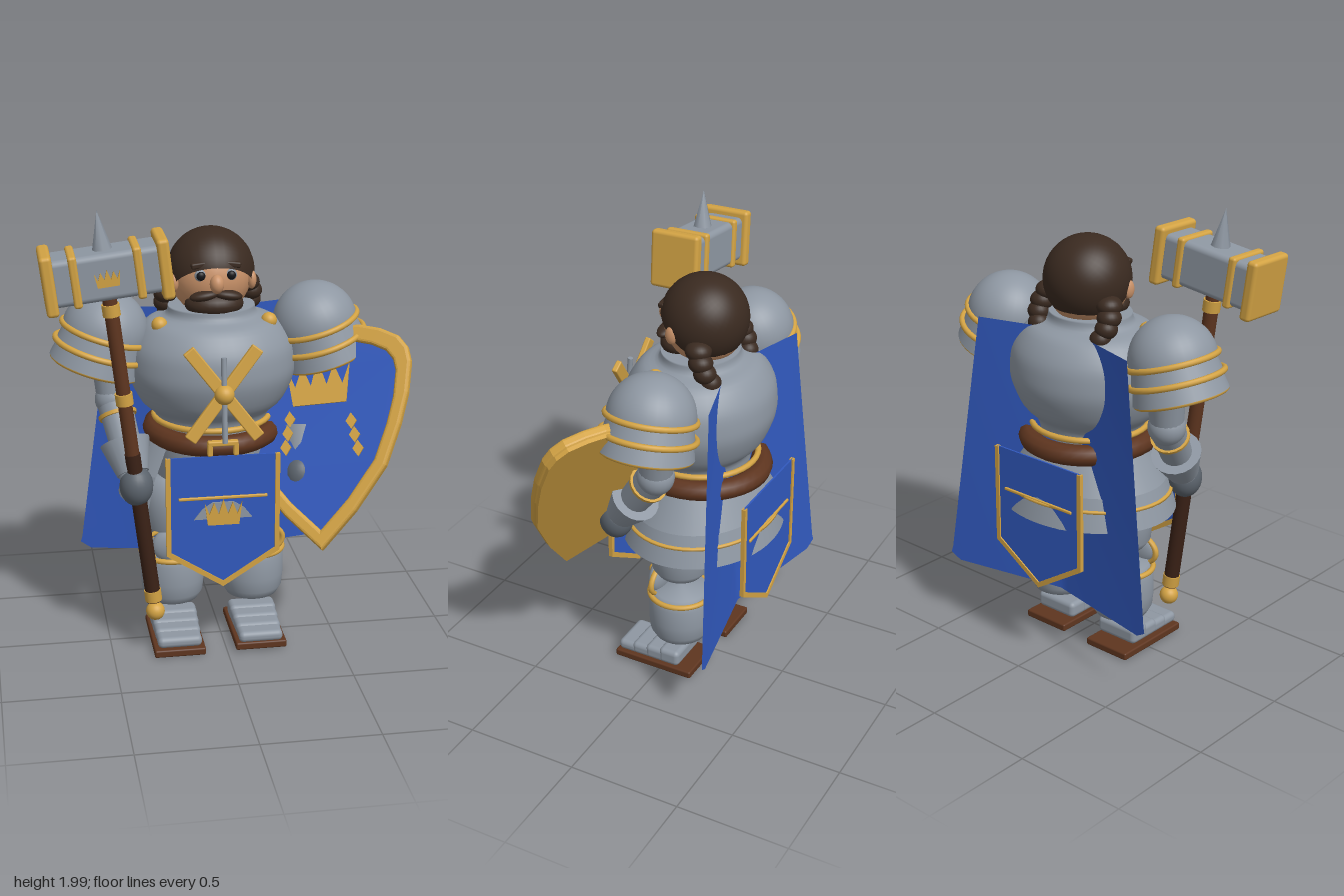
import * as THREE from 'three';
import { RoundedBoxGeometry } from 'three/addons/geometries/RoundedBoxGeometry.js';

const mat = (name, color, side = THREE.FrontSide) => {
  const m = new THREE.MeshStandardMaterial({ color, side });
  m.name = name;
  return m;
};
const V = (x, y, z) => new THREE.Vector3(x, y, z);
const CX = -0.03; // body centre line

export function createModel() {
  const steel = mat('steel', 0x8e97a2, THREE.DoubleSide), darkSteel = mat('dark steel', 0x5c646d);
  const gold = mat('gold', 0xd3a344), blue = mat('blue cloth', 0x3159be, THREE.DoubleSide);
  const brown = mat('leather', 0x5e351f), darkBrown = mat('dark leather', 0x3a2116);
  const hair = mat('hair', 0x3a2a20), skin = mat('skin', 0xc99269), black = mat('black', 0x15161a);

  const root = new THREE.Group();
  root.name = 'armouredWarrior';
  const group = (name, parent = root) => {
    const g = new THREE.Group();
    g.name = name;
    parent.add(g);
    return g;
  };
  const add = (parent, name, geo, m, x = 0, y = 0, z = 0) => {
    const o = new THREE.Mesh(geo, m);
    o.name = name;
    o.position.set(x, y, z);
    parent.add(o);
    return o;
  };
  const ball = (p, name, m, x, y, z, rx, ry = rx, rz = rx) => {
    const o = add(p, name, new THREE.SphereGeometry(1, 24, 16), m, x, y, z);
    o.scale.set(rx, ry, rz);
    return o;
  };
  const box = (p, name, m, w, h, d, x, y, z, r = 0.01) =>
    add(p, name, new RoundedBoxGeometry(w, h, d, 3, r), m, x, y, z);
  // Horizontal ring, optionally oval
  const ring = (p, name, m, x, y, z, rx, tube, rz = rx) => {
    const o = add(p, name, new THREE.TorusGeometry(rx, tube, 10, 40), m, x, y, z);
    o.rotation.x = Math.PI / 2;
    o.scale.y = rz / rx;
    return o;
  };
  const lathe = (p, name, m, pts, x, z, sz = 1, start = 0, len = Math.PI * 2) => {
    const g = new THREE.LatheGeometry(pts.map(q => new THREE.Vector2(...q)), 40, start, len);
    const o = add(p, name, g, m, x, 0, z);
    o.scale.z = sz;
    return o;
  };
  const limb = (p, name, m, a, b, ra, rb) => {
    const d = b.clone().sub(a);
    const o = add(p, name, new THREE.CylinderGeometry(rb, ra, d.length(), 20), m);
    o.position.copy(a).addScaledVector(d, 0.5);
    o.quaternion.setFromUnitVectors(V(0, 1, 0), d.normalize());
    return o;
  };
  const plate = (p, name, m, pts, depth, z = 0, hole = null, bevel = 0) => {
    const s = new THREE.Shape(pts.map(q => new THREE.Vector2(...q)));
    if (hole) s.holes.push(new THREE.Path(hole.map(q => new THREE.Vector2(...q))));
    const geo = new THREE.ExtrudeGeometry(s, { depth, bevelEnabled: bevel > 0, bevelSize: bevel,
      bevelThickness: bevel, bevelOffset: -bevel / 2, bevelSegments: 3 });
    return add(p, name, geo, m, 0, 0, z);
  };
  // Five-pointed crown, base centred on (x, y)
  const crown = (p, x, y, z, w, h) => {
    const pts = [[x - w * 0.42, y], [x + w * 0.42, y]];
    for (let i = 0; i <= 8; i++)
      pts.push([x + w * (0.5 - i / 8), y + h * (i % 2 ? 0.42 : i === 4 ? 1 : 0.88)]);
    plate(p, 'crown', gold, pts, 0.009, z);
  };

  // Torso, collar, belt and skirt
  const body = group('body');
  const profile = new THREE.SplineCurve([[0.24, 1], [0.25, 1.06], [0.31, 1.12], [0.355, 1.22], [0.36, 1.3],
    [0.342, 1.38], [0.28, 1.46], [0.2, 1.49], [0.185, 1.53]].map(q => new THREE.Vector2(...q)))
    .getPoints(32).map(q => [q.x, q.y]);
  lathe(body, 'breastplate', steel, [...profile, [0, 1.53]], CX, -0.06, 0.88);
  ring(body, 'waistRing', gold, CX, 1.04, -0.06, 0.25, 0.013, 0.25);
  ring(body, 'belt', brown, CX, 0.98, -0.06, 0.255, 0.045, 0.27);
  for (const dx of [-0.055, 0.055]) box(body, 'buckle', gold, 0.022, 0.055, 0.03, CX + dx, 0.985, 0.258, 0.006);
  box(body, 'buckle', gold, 0.13, 0.022, 0.03, CX, 1.012, 0.258, 0.006);
  lathe(body, 'hips', steel, [[0, 0.64], [0.2, 0.66], [0.25, 0.75], [0.26, 0.95]], CX, -0.06, 0.85);
  const gap = 0.84, sweep = Math.PI * 2 - gap * 2;
  const tier = (name, m, pts) => lathe(body, name, m, pts, CX, -0.08, 0.83, gap, sweep);
  tier('skirtUpper', steel, [[0.37, 0.8], [0.27, 0.97]]);
  tier('skirtLower', steel, [[0.41, 0.68], [0.365, 0.82]]);
  tier('skirtTrim', gold, [[0.384, 0.76], [0.394, 0.761], [0.394, 0.771], [0.378, 0.772]]);
  for (const s of [-1, 1]) ball(body, 'collarStud', gold, CX + s * 0.233, 1.47, 0.03, 0.034);

  // Crossed bars on the chest, leaning back at the top
  const emblem = group('chestEmblem', body);
  emblem.position.set(CX, 1.235, 0.285);
  emblem.rotation.x = -0.1;
  for (const s of [-1, 1])
    box(emblem, 'chestBar', gold, 0.054, 0.475, 0.025, 0, 0, 0, 0.006).rotation.z = s * 0.655;
  ball(emblem, 'chestBoss', gold, 0, 0, 0.012, 0.042);
  add(emblem, 'chestRod', new THREE.CylinderGeometry(0.012, 0.012, 0.36, 12), steel, 0, -0.025, 0.012);

  // Head, hair and braids
  const head = group('head');
  ball(head, 'face', skin, CX, 1.65, -0.08, 0.172);
  const cap = add(head, 'hairCap', new THREE.SphereGeometry(0.186, 32, 20, 0, Math.PI * 2, 0, 2), hair, CX, 1.672, -0.078);
  cap.rotation.x = -0.7;
  ball(head, 'nose', skin, CX, 1.653, 0.1, 0.03, 0.04, 0.035);
  ball(head, 'beard', hair, CX, 1.552, 0.02, 0.125, 0.06, 0.092);
  for (const s of [-1, 1]) {
    ball(head, 'eyeRim', steel, CX + s * 0.064, 1.685, 0.069, 0.025, 0.025, 0.018);
    ball(head, 'pupil', black, CX + s * 0.064, 1.685, 0.081, 0.019, 0.019, 0.013);
    box(head, 'eyebrow', hair, 0.07, 0.025, 0.03, CX + s * 0.07, 1.73, 0.073, 0.008).rotation.z = -s * 0.12;
    ball(head, 'moustache', hair, CX + s * 0.05, 1.6, 0.075, 0.062, 0.022, 0.035).rotation.z = -s * 0.15;
    ball(head, 'ear', skin, CX + s * 0.165, 1.64, -0.01, 0.02, 0.04, 0.028);
    for (let i = 0; i < 6; i++)
      ball(head, 'braid', hair, CX + s * (0.168 + 0.02 * Math.sin(i)), 1.6 - i * 0.043, -0.135 - i * 0.02,
        0.054 - i * 0.003, 0.042, 0.056 - i * 0.004);
  }

  // Legs and feet
  for (const s of [-1, 1]) {
    const x = CX + s * 0.18, z = -0.06, leg = group(s < 0 ? 'rightLeg' : 'leftLeg');
    lathe(leg, 'thigh', steel, [[0, 0.5], [0.1, 0.505], [0.125, 0.54], [0.135, 0.65], [0.12, 0.78], [0, 0.8]], x, z);
    lathe(leg, 'shin', steel, [[0, 0.17], [0.08, 0.172], [0.115, 0.185], [0.135, 0.22], [0.141, 0.28],
      [0.14, 0.37], [0.12, 0.42], [0, 0.44]], x, z);
    ring(leg, 'shinRing', gold, x, 0.4, z, 0.137, 0.012);
    ball(leg, 'kneeCap', steel, x, 0.465, 0.035, 0.1, 0.085, 0.04);
    add(leg, 'kneeRim', new THREE.TorusGeometry(0.125, 0.013, 8, 32), gold, x, 0.465, 0.02).scale.y = 0.6;
    ball(leg, 'kneeStud', gold, x, 0.475, 0.07, 0.025);
    box(leg, 'sole', brown, 0.226, 0.034, 0.38, x, s < 0 ? 0.024 : 0.034, 0.025, 0.008);
    for (let i = 0; i < 4; i++)
      box(leg, 'footPlate', steel, 0.195 + i * 0.005, 0.05 + i * 0.008, 0.1, x, 0.07 + i * 0.006, 0.16 - i * 0.07, 0.022);
  }

  // Shoulder armour and arms
  for (const s of [-1, 1]) {
    const name = s < 0 ? 'right' : 'left';
    const pad = group(name + 'Shoulder');
    pad.position.set(CX + s * 0.455, 1.42, -0.075);
    pad.rotation.z = s * 0.3;
    add(pad, 'dome', new THREE.SphereGeometry(0.185, 32, 16, 0, Math.PI * 2, 0, Math.PI / 2), steel);
    for (let i = 0; i < 3; i++) {
      const r = [0.186, 0.196, 0.186][i], y = -0.075 * i;
      ring(pad, 'padTrim', gold, 0, y, 0, r, 0.013);
      if (i < 2) add(pad, 'lame', new THREE.CylinderGeometry(r - 0.012, r + 0.004, 0.075, 32, 1, true), steel, 0, y - 0.038, 0);
    }
    const arm = group(name + 'Arm');
    const a = V(CX + s * 0.44, 1.36, -0.1), e = s < 0 ? V(-0.455, 1.12, -0.07) : V(0.385, 1.12, -0.07);
    const h = s < 0 ? V(-0.385, 0.8, 0.15) : V(0.32, 0.81, 0.16);
    const at = t => e.clone().lerp(h, t);
    limb(arm, 'upperArm', steel, a, e, 0.085, 0.07);
    ball(arm, 'elbow', steel, e.x, e.y, e.z, 0.08);
    limb(arm, 'forearm', steel, e, h, 0.075, 0.06);
    limb(arm, 'armRing', gold, at(0.17), at(0.21), 0.084, 0.082);
    limb(arm, 'cuff', steel, at(0.5), at(0.86), 0.108, 0.07);
    ball(arm, 'gauntlet', darkSteel, h.x, h.y, h.z, 0.072, 0.088, 0.075);
  }

  // Cape: a sheet folded inward along the back, with rounded lower corners
  const capeGeo = new THREE.PlaneGeometry(2, 1, 24, 20);
  const cp = capeGeo.attributes.position;
  for (let i = 0; i < cp.count; i++) {
    const u = cp.getX(i), v = cp.getY(i) + 0.5, t = Math.abs(u);
    const y = 0.303 + v * 1.167 + (v < 0.01 && t > 0.95 ? 0.03 : 0);
    cp.setXYZ(i, CX + u * (0.565 - 0.155 * v), y, -0.255 + 0.065 * v - t * (0.113 + 0.007 * v));
  }
  capeGeo.computeVertexNormals();
  add(root, 'cape', capeGeo, blue);

  // Front and back tabards
  for (const front of [true, false]) {
    const g = group(front ? 'frontTabard' : 'backTabard');
    g.position.set(CX, 0, front ? 0.255 : -0.385);
    if (!front) g.rotation.y = Math.PI;
    plate(g, 'cloth', blue, [[-0.235, 0.955], [-0.235, 0.52], [0, 0.37], [0.235, 0.52], [0.235, 0.955]], 0.008);
    plate(g, 'border', gold, [[-0.243, 0.955], [-0.243, 0.515], [0, 0.36], [0.243, 0.515], [0.243, 0.955],
      [0.223, 0.955], [0.223, 0.528], [0, 0.385], [-0.223, 0.528], [-0.223, 0.955]], 0.018, -0.004);
    box(g, 'stripe', gold, 0.38, 0.013, 0.012, 0, 0.77, 0.01, 0.004);
    plate(g, 'fan', steel, [[-0.125, 0.675], [0.125, 0.675], [0.09, 0.72], [0.045, 0.75], [-0.045, 0.75], [-0.09, 0.72]], 0.006, 0.008);
    if (front) crown(g, 0, 0.65, 0.014, 0.16, 0.115);
  }

  // Shield, with its origin at the lower tip
  const shield = group('shield');
  const n = V(-0.46, 0.46, 0.76).normalize(), r = V(0.887, 0.195, 0.419).normalize();
  const up = n.clone().cross(r).normalize();
  shield.quaternion.setFromRotationMatrix(new THREE.Matrix4().makeBasis(r, up, n));
  shield.position.set(0.367, 0.575, 0.415);
  const half = [[0, 0], [0.15, 0.15], [0.29, 0.33], [0.36, 0.5], [0.4, 0.63], [0.42, 0.76], [0.41, 0.82],
    [0.375, 0.87], [0.3, 0.91], [0.214, 0.935], [0, 0.95]];
  const outline = [...half, ...half.slice(1, -1).reverse().map(([x, y]) => [-x, y])];
  const inset = outline.map(([x, y]) => [x * 0.87, 0.5 + (y - 0.5) * 0.87]);
  plate(shield, 'shieldBack', gold, outline, 0.03, -0.045);
  plate(shield, 'shieldRim', gold, outline, 0.02, -0.015, inset, 0.014);
  plate(shield, 'shieldFace', blue, inset, 0.008, -0.008);
  crown(shield, 0.02, 0.615, 0.001, 0.28, 0.19);
  for (const s of [-1, 1])
    for (let i = 0; i < 3; i++) {
      const x = 0.02 + s * (0.135 + i * 0.012), y = 0.545 - i * 0.06 - s * 0.015;
      plate(shield, 'shieldDrop', gold, [[x, y - 0.035], [x + 0.024, y], [x, y + 0.035], [x - 0.024, y]], 0.009, 0);
    }

  // War hammer, with its origin at the centre of the head
  const hammer = group('hammer');
  hammer.position.set(-0.497, 1.745, 0.185);
  hammer.rotation.set(0.025, 0, 0.12);
  box(hammer, 'hammerHead', steel, 0.46, 0.195, 0.18, 0, 0, 0, 0.025);
  for (const s of [-1, 1]) {
    box(hammer, 'hammerCap', gold, 0.05, 0.25, 0.225, s * 0.235, 0, 0, 0.016);
    box(hammer, 'hammerBand', gold, 0.035, 0.215, 0.2, s * 0.13, 0, 0, 0.012);
  }
  crown(hammer, 0, -0.035, 0.089, 0.105, 0.07);
  add(hammer, 'spike', new THREE.ConeGeometry(0.042, 0.165, 8), steel, 0, 0.175, 0);
  const rod = (name, m, rad, top, bottom) =>
    add(hammer, name, new THREE.CylinderGeometry(rad, rad, top - bottom, 20), m, 0, (top + bottom) / 2, 0);
  rod('shaft', brown, 0.03, -0.09, -0.82);
  rod('grip', darkBrown, 0.033, -0.8, -1.5);
  for (const y of [-0.16, -0.55, -1.47]) rod('shaftRing', gold, 0.037, y + 0.025, y - 0.025);
  ball(hammer, 'pommel', gold, 0, -1.55, 0, 0.041);

  return root;
}
